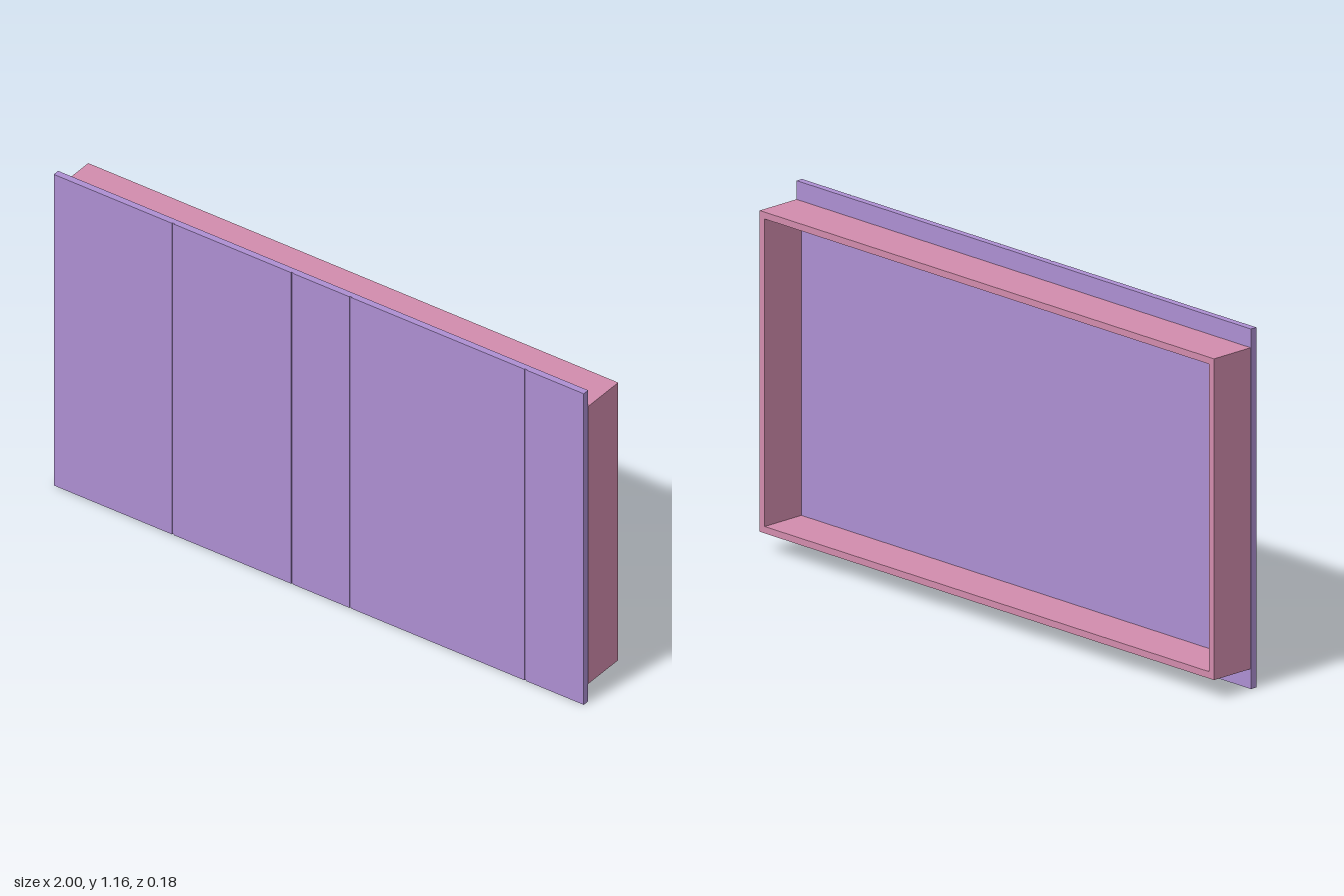
import * as THREE from 'three';

const FRONT = 0.09, BACK = 0.067, HEIGHT = 1.16;
const SEAMS = [-0.55, -0.1, 0.12, 0.78];

export function createModel() {
  const model = new THREE.Group();
  model.name = 'panelledFront';
  const purple = new THREE.MeshStandardMaterial({ color: 0xad8fd2 });
  const pink = new THREE.MeshStandardMaterial({ color: 0xd28cad });

  // Front panel: plan outline with shallow seams, extruded upwards
  const half = 0.004, depth = 0.003;
  const plan = new THREE.Shape();
  plan.moveTo(-1, -BACK);
  plan.lineTo(-1, -FRONT);
  for (const x of SEAMS) {
    plan.lineTo(x - half, -FRONT);
    plan.lineTo(x - half, -FRONT + depth);
    plan.lineTo(x + half, -FRONT + depth);
    plan.lineTo(x + half, -FRONT);
  }
  plan.lineTo(1, -FRONT);
  plan.lineTo(1, -BACK);
  plan.closePath();
  const panelGeometry = new THREE.ExtrudeGeometry(plan, { depth: HEIGHT, bevelEnabled: false });
  panelGeometry.rotateX(-Math.PI / 2);
  const panel = new THREE.Mesh(panelGeometry, purple);
  panel.name = 'frontPanel';
  model.add(panel);

  // Open rectangular frame behind the panel
  const bottom = 0.065, top = 1.1, wall = 0.022;
  const rectangle = (path, inset) => path
    .moveTo(-1 + inset, bottom + inset)
    .lineTo(1 - inset, bottom + inset)
    .lineTo(1 - inset, top - inset)
    .lineTo(-1 + inset, top - inset)
    .closePath();
  const outline = new THREE.Shape();
  rectangle(outline, 0);
  const opening = new THREE.Path();
  rectangle(opening, wall);
  outline.holes.push(opening);
  const frame = new THREE.Mesh(
    new THREE.ExtrudeGeometry(outline, { depth: 0.156, bevelEnabled: false }), pink);
  frame.name = 'backFrame';
  frame.position.z = -0.09;
  model.add(frame);

  return model;
}
